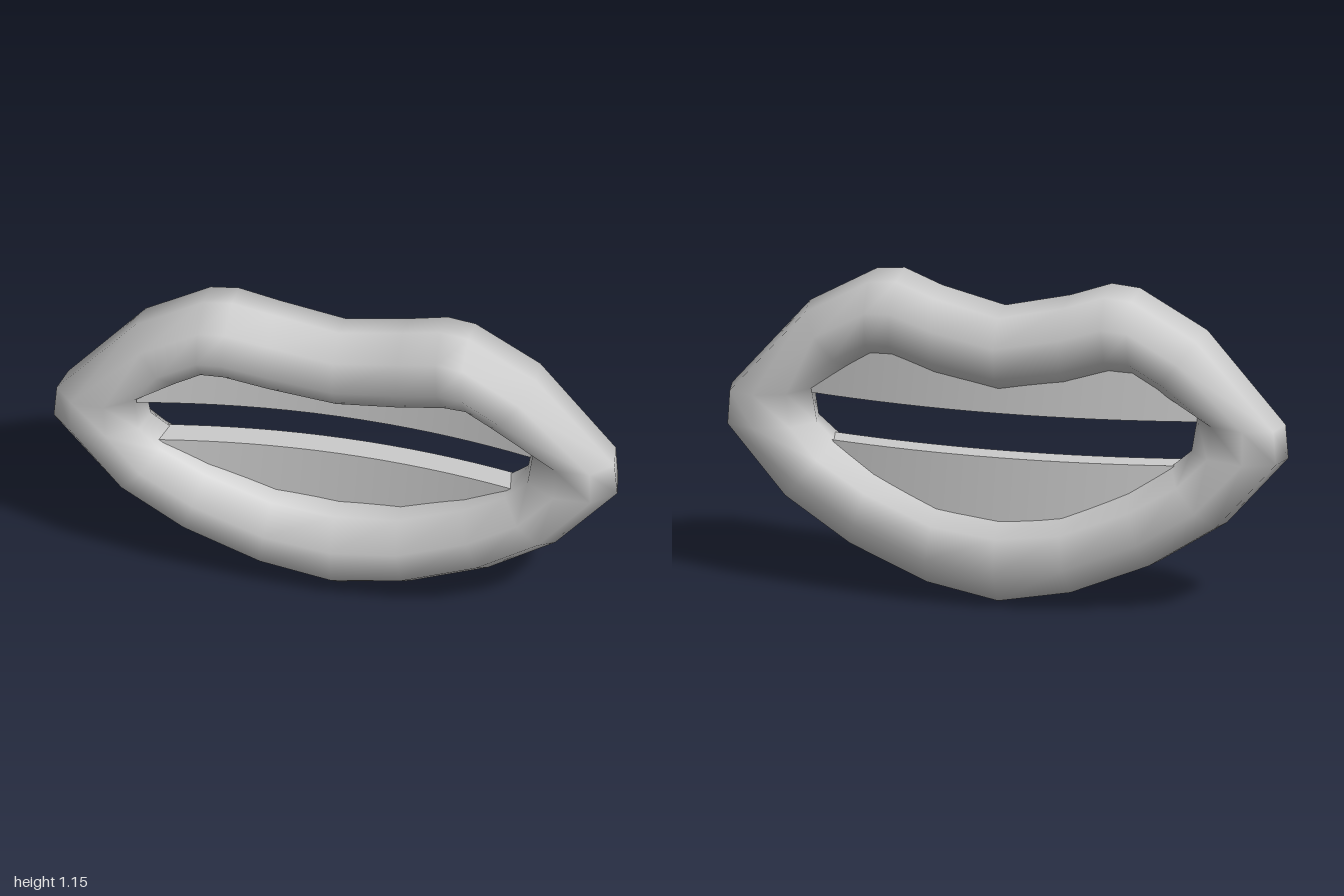
import * as THREE from 'three';

// Lip cross-sections from the top centre, round the +x corner, to the bottom centre:
// outer x, outer y, inner x, inner y, centre z, half depth
const SECTIONS = [
  [0, 1.06, 0, 0.765, -0.03, 0.145],
  [0.23, 1.11, 0.23, 0.80, -0.015, 0.148],
  [0.37, 1.155, 0.39, 0.845, 0.008, 0.155],
  [0.47, 1.145, 0.47, 0.845, 0.012, 0.155],
  [0.71, 1.01, 0.55, 0.80, 0.016, 0.155],
  [0.99, 0.69, 0.69, 0.71, 0.02, 0.132],
  [1.0, 0.57, 0.67, 0.59, 0.02, 0.132],
  [0.78, 0.32, 0.60, 0.53, 0.014, 0.155],
  [0.54, 0.165, 0.45, 0.445, 0.005, 0.16],
  [0.26, 0.05, 0.22, 0.355, -0.008, 0.162],
  [0, 0.0, 0, 0.335, -0.012, 0.163],
];
const SIDES = 8;
const ROLL = 0.24; // tips the outer ridge of each section forward

// Closed eight-sided tube swept through the mirrored sections
function lipGeometry() {
  const half = SECTIONS.length - 1;
  const count = half * 2;
  const positions = [];
  const index = [];
  for (let i = 0; i < count; i++) {
    const mirror = i > half ? -1 : 1;
    const [ox, oy, ix, iy, z, depth] = SECTIONS[i > half ? count - i : i];
    for (let k = 0; k < SIDES; k++) {
      const angle = (k / SIDES) * Math.PI * 2 + ROLL;
      const c = Math.cos(angle) / Math.cos(ROLL) / 2;
      positions.push(
        mirror * ((ox + ix) / 2 + (ox - ix) * c),
        (oy + iy) / 2 + (oy - iy) * c,
        z + depth * Math.sin(angle),
      );
      const next = ((i + 1) % count) * SIDES;
      const k1 = (k + 1) % SIDES;
      const a = i * SIDES + k, b = next + k;
      const e = i * SIDES + k1, d = next + k1;
      index.push(a, e, b, b, e, d);
    }
  }
  const geometry = new THREE.BufferGeometry();
  geometry.setAttribute('position', new THREE.Float32BufferAttribute(positions, 3));
  geometry.setIndex(index);
  geometry.computeVertexNormals();
  return geometry;
}

// Height of the middle of the lip at a given x
function lipMiddle(rows, x) {
  const points = rows.map(([ox, oy, ix, iy]) => [(ox + ix) / 2, (oy + iy) / 2]);
  for (let i = 1; i < points.length; i++) {
    const [x0, y0] = points[i - 1];
    const [x1, y1] = points[i];
    if (x <= x1) return y0 + ((x - x0) / (x1 - x0)) * (y1 - y0);
  }
  return points[points.length - 1][1];
}

// Bowed slab with one straight biting edge; the other edge is buried in the lip
function teethGeometry(halfWidth, edgeY, rows, upper) {
  const geometry = new THREE.BoxGeometry(halfWidth * 2, 1, 0.09, 16, 1, 1);
  const p = geometry.attributes.position;
  for (let i = 0; i < p.count; i++) {
    const x = p.getX(i);
    const buried = (p.getY(i) > 0) === upper;
    p.setY(i, buried ? lipMiddle(rows, Math.abs(x)) : edgeY);
    p.setZ(i, p.getZ(i) - 0.045 + 0.08 * (x / 0.7) ** 2);
  }
  geometry.computeVertexNormals();
  return geometry;
}

export function createModel() {
  const group = new THREE.Group();
  group.name = 'mouth';
  const material = new THREE.MeshStandardMaterial({ color: 0xcccccc });
  const add = (name, geometry) => {
    const mesh = new THREE.Mesh(geometry, material);
    mesh.name = name;
    group.add(mesh);
  };

  add('lips', lipGeometry());
  add('upperTeeth', teethGeometry(0.7, 0.695, SECTIONS.slice(0, 6), true));
  add('lowerTeeth', teethGeometry(0.63, 0.535, SECTIONS.slice(6).reverse(), false));
  return group;
}
